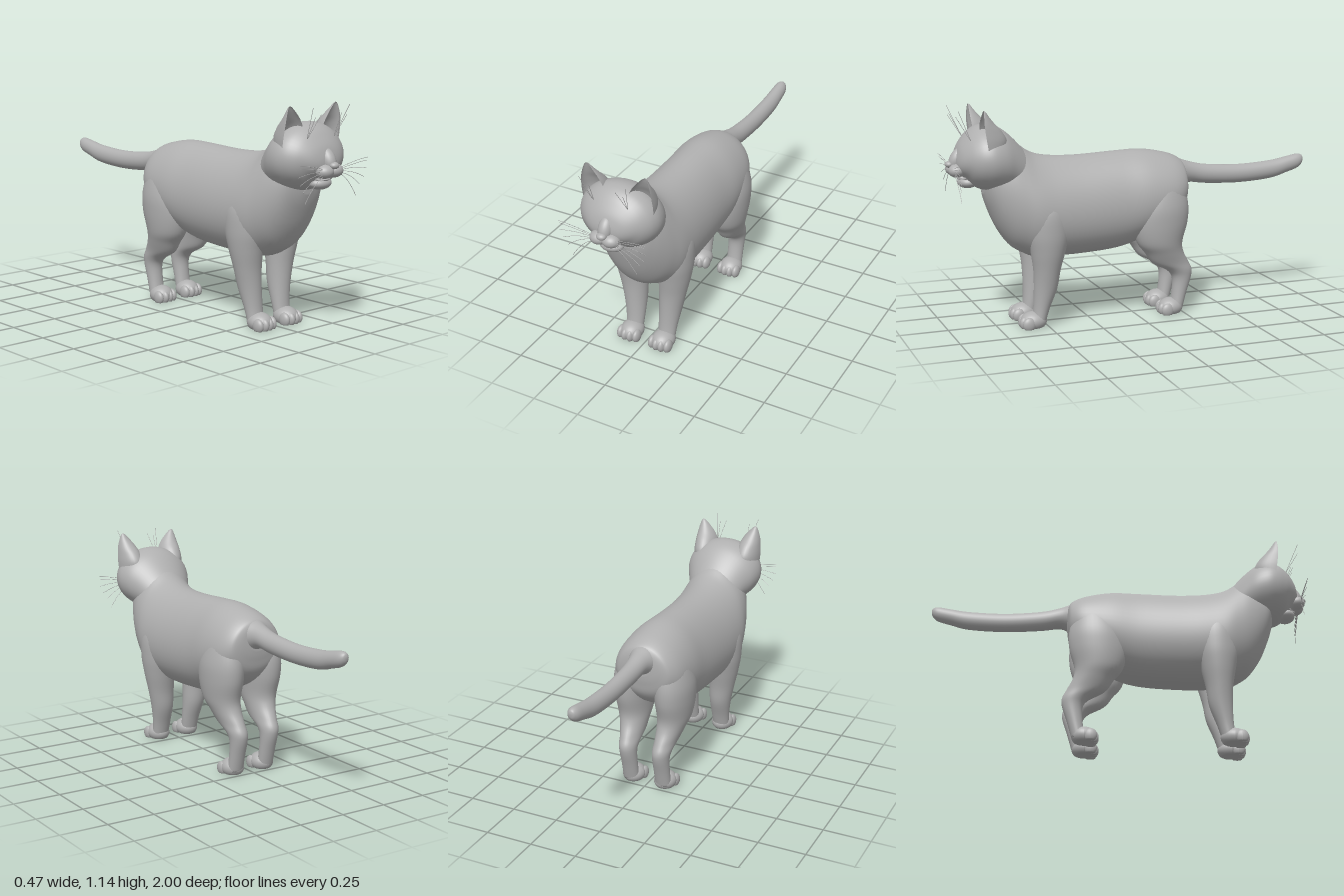
import * as THREE from 'three';

const fur = new THREE.MeshStandardMaterial({ color: 0xb0b0b0 });
fur.name = 'grey fur';

// Catmull-Rom interpolation of section rows
function refine(rows, steps) {
  const out = [];
  const at = (i) => rows[Math.min(rows.length - 1, Math.max(0, i))];
  for (let i = 0; i < rows.length - 1; i++) {
    for (let s = 0; s < steps; s++) {
      const t = s / steps;
      out.push(rows[i].map((b, k) => {
        const a = at(i - 1)[k], c = at(i + 1)[k], d = at(i + 2)[k];
        return b + 0.5 * t * (c - a + t * (2 * a - 5 * b + 4 * c - d + t * (3 * (b - c) + d - a)));
      }));
    }
  }
  out.push(rows[rows.length - 1]);
  return out;
}

// Closed smooth skin over sections; place(row, cos, sin) gives a point
function loft(name, rows, place, sides = 40, steps = 5) {
  const rings = refine(rows, steps), pos = [], idx = [];
  for (const r of rings) {
    for (let j = 0; j < sides; j++) {
      const a = (j / sides) * Math.PI * 2;
      pos.push(...place(r, Math.cos(a), Math.sin(a)));
    }
  }
  const last = (rings.length - 1) * sides, c0 = rings.length * sides;
  for (const r of [rings[0], rings[rings.length - 1]]) {
    const p = place(r, 1, 0), q = place(r, -1, 0);
    pos.push(...p.map((v, k) => (v + q[k]) / 2));
  }
  for (let j = 0; j < sides; j++) {
    const k = (j + 1) % sides;
    for (let i = 0; i < rings.length - 1; i++) {
      const a = i * sides + j, b = i * sides + k;
      idx.push(a, b, a + sides, b, b + sides, a + sides);
    }
    idx.push(c0, k, j, c0 + 1, last + j, last + k);
  }
  const g = new THREE.BufferGeometry();
  g.setAttribute('position', new THREE.Float32BufferAttribute(pos, 3));
  g.setIndex(idx);
  g.computeVertexNormals();
  return named(name, g);
}

function named(name, geometry) {
  const m = new THREE.Mesh(geometry, fur);
  m.name = name;
  return m;
}

// Section placers: rows along z are [z, top, bottom, halfWidth]; rows along y are [y, cx, cz, rx, rz]
const alongZ = (taper) => ([z, top, bot, w], c, s) =>
  [w * c * (1 - taper * s), (top + bot) / 2 + s * (top - bot) / 2, z];
const alongY = ([y, cx, cz, rx, rz], c, s) => [cx + rx * c, y, cz - rz * s];
// Ear section: rounded back, hollow front
const earShape = ([y, cx, cz, rx, rz], c, s) => [cx + rx * c, y, cz - rz * (s > 0 ? s : -0.55 * s)];

function ball(name, x, y, z, rx, ry, rz, tilt = 0) {
  const m = named(name, new THREE.SphereGeometry(1, 28, 20));
  m.position.set(x, y, z);
  m.scale.set(rx, ry, rz);
  m.rotation.x = tilt;
  return m;
}

// Flat-soled paw with four toes
function paw(name, x, zBack, zFront) {
  const g = new THREE.Group();
  g.name = name;
  const dome = (part, px, pz, rx, ry, rz, cy) => {
    const geo = new THREE.SphereGeometry(1, 28, 20).scale(rx, ry, rz).translate(px, cy, pz);
    const p = geo.attributes.position;
    for (let i = 0; i < p.count; i++) p.setY(i, Math.max(0, p.getY(i)));
    geo.computeVertexNormals();
    g.add(named(part, geo));
  };
  dome('pad', x, (zBack + zFront) / 2 - 0.005, 0.06, 0.05, (zFront - zBack) / 2 - 0.005, 0.033);
  for (const t of [-1.5, -0.5, 0.5, 1.5]) {
    dome('toe', x + t * 0.03, zFront - 0.033 - Math.abs(t) * 0.008, 0.02, 0.036, 0.034, 0.026);
  }
  return g;
}

// Thin tapering hair that bows by sag in y
function whisker(name, a, b, sag) {
  const from = new THREE.Vector3(...a), to = new THREE.Vector3(...b);
  const mid = from.clone().lerp(to, 0.5);
  mid.y += sag;
  const curve = new THREE.QuadraticBezierCurve3(from, mid, to);
  return named(name, new THREE.TubeGeometry(curve, 10, 0.0012, 5));
}

export function createModel() {
  const cat = new THREE.Group();
  cat.name = 'cat';

  // Trunk from rump to chest and neck
  cat.add(loft('body', [
    [-0.28, 0.77, 0.66, 0.05], [-0.272, 0.80, 0.61, 0.11], [-0.25, 0.825, 0.54, 0.155],
    [-0.18, 0.853, 0.47, 0.19], [-0.05, 0.876, 0.41, 0.203], [0.1, 0.874, 0.365, 0.2],
    [0.3, 0.866, 0.35, 0.206], [0.45, 0.872, 0.35, 0.212], [0.55, 0.895, 0.355, 0.212],
    [0.62, 0.94, 0.385, 0.197], [0.68, 0.975, 0.43, 0.178], [0.74, 0.97, 0.52, 0.15],
    [0.785, 0.93, 0.63, 0.115], [0.805, 0.85, 0.70, 0.05],
  ], alongZ(0.1), 48));

  cat.add(loft('tail', [
    [-1, 0.775, 0.765, 0.005], [-0.993, 0.79, 0.742, 0.02], [-0.965, 0.796, 0.718, 0.033],
    [-0.9, 0.785, 0.698, 0.038], [-0.8, 0.769, 0.672, 0.042], [-0.61, 0.76, 0.661, 0.044],
    [-0.42, 0.773, 0.67, 0.047], [-0.32, 0.795, 0.682, 0.054], [-0.26, 0.815, 0.66, 0.075],
    [-0.2, 0.83, 0.64, 0.1],
  ], alongZ(0), 28));

  // Skull
  cat.add(loft('head', [
    [0.58, 0.9, 0.66, 0.12], [0.66, 0.985, 0.70, 0.165], [0.72, 1.032, 0.71, 0.197],
    [0.78, 1.05, 0.715, 0.21], [0.83, 1.043, 0.728, 0.2], [0.87, 1.018, 0.75, 0.175],
    [0.90, 0.985, 0.783, 0.143], [0.925, 0.948, 0.805, 0.105], [0.94, 0.91, 0.825, 0.065],
    [0.947, 0.88, 0.85, 0.02],
  ], alongZ(0), 48));

  // Muzzle, nose and open mouth
  cat.add(ball('noseBridge', 0, 0.88, 0.93, 0.036, 0.062, 0.04, -0.5));
  cat.add(ball('nose', 0, 0.856, 0.973, 0.025, 0.017, 0.022));
  cat.add(ball('lowerJaw', 0, 0.763, 0.882, 0.062, 0.032, 0.05));
  cat.add(ball('tongue', 0, 0.785, 0.9, 0.026, 0.012, 0.036));
  const lip = new THREE.CatmullRomCurve3([-1, -0.5, 0, 0.5, 1].map((t) =>
    new THREE.Vector3(t * 0.055, 0.772 + 0.025 * t * t, 0.92 - 0.035 * t * t)));
  cat.add(named('lowerLip', new THREE.TubeGeometry(lip, 20, 0.008, 8)));

  for (const s of [1, -1]) {
    const side = s > 0 ? 'left' : 'right';
    const add = (m) => cat.add(m);

    // Face
    add(ball(side + 'WhiskerPad', s * 0.032, 0.827, 0.942, 0.046, 0.034, 0.043));
    add(ball(side + 'Eye', s * 0.083, 0.91, 0.894, 0.034, 0.031, 0.03));
    const lid = named(side + 'Eyelid', new THREE.TorusGeometry(0.036, 0.007, 10, 32));
    lid.position.set(s * 0.084, 0.91, 0.905);
    lid.rotation.set(-0.3, s * 0.5, 0, 'YXZ');
    lid.scale.y = 0.92;
    add(lid);

    // Ear
    add(loft(side + 'Ear', [
      [0.92, s * 0.122, 0.815, 0.068, 0.1], [0.98, s * 0.125, 0.825, 0.068, 0.115],
      [1.03, s * 0.13, 0.832, 0.06, 0.095], [1.07, s * 0.138, 0.835, 0.047, 0.06],
      [1.105, s * 0.148, 0.834, 0.028, 0.03], [1.128, s * 0.155, 0.832, 0.012, 0.012],
      [1.135, s * 0.157, 0.831, 0.002, 0.002],
    ], earShape, 36));

    // Whiskers and brow hairs
    [[0.235, 0.875, 0.01], [0.23, 0.86, 0.005], [0.235, 0.82, 0.015], [0.22, 0.78, 0.02],
      [0.195, 0.745, 0.025], [0.175, 0.69, 0.035]].forEach(([x, y, sag], i) =>
      add(whisker(side + 'Whisker', [s * 0.055, 0.84 - i * 0.006, 0.96], [s * x, y, 0.975 - i * 0.004], sag)));
    for (const [x, y] of [[0.125, 1.135], [0.108, 1.09], [0.07, 1.1]]) {
      add(whisker(side + 'BrowHair', [s * 0.092, 0.975, 0.88], [s * x, y, 0.95], 0));
    }

    // Front leg
    add(loft(side + 'FrontLeg', [
      [0.02, s * 0.094, 0.55, 0.045, 0.036], [0.1, s * 0.095, 0.532, 0.05, 0.043],
      [0.2, s * 0.102, 0.512, 0.06, 0.06], [0.3, s * 0.112, 0.506, 0.071, 0.07],
      [0.4, s * 0.122, 0.502, 0.083, 0.09], [0.5, s * 0.128, 0.5, 0.09, 0.11],
      [0.62, s * 0.125, 0.5, 0.088, 0.11], [0.74, s * 0.1, 0.5, 0.06, 0.07],
    ], alongY, 36));
    add(paw(side + 'FrontPaw', s * 0.092, 0.505, 0.655));

    // Hind leg with thigh and hock
    add(loft(side + 'HindLeg', [
      [0.02, s * 0.094, -0.212, 0.043, 0.035], [0.11, s * 0.094, -0.232, 0.043, 0.04],
      [0.19, s * 0.095, -0.245, 0.045, 0.052], [0.235, s * 0.097, -0.23, 0.05, 0.07],
      [0.28, s * 0.1, -0.178, 0.058, 0.1], [0.34, s * 0.107, -0.14, 0.072, 0.106],
      [0.4, s * 0.113, -0.113, 0.086, 0.125], [0.5, s * 0.115, -0.113, 0.098, 0.151],
      [0.6, s * 0.112, -0.12, 0.1, 0.148], [0.72, s * 0.1, -0.13, 0.078, 0.11],
      [0.78, s * 0.08, -0.13, 0.05, 0.07],
    ], alongY, 36));
    add(paw(side + 'HindPaw', s * 0.092, -0.25, -0.107));
  }
  return cat;
}
